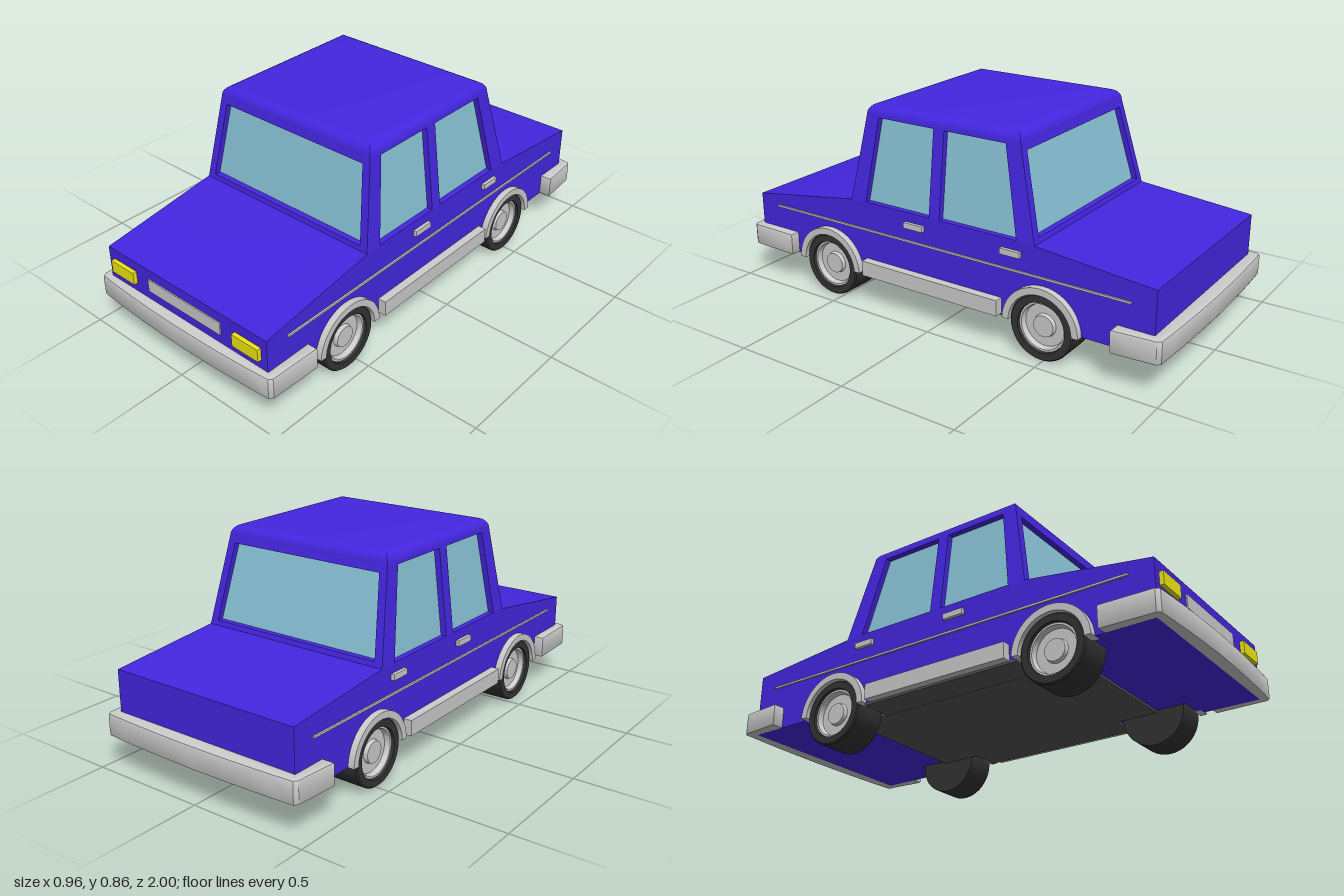
import * as THREE from 'three';
import { toCreasedNormals } from 'three/addons/utils/BufferGeometryUtils.js';

const mat = (color) => new THREE.MeshStandardMaterial({ color });
const paint = mat(0x4426e0), trim = mat(0xcccccc), glass = mat(0x88c2d6);
const rubber = mat(0x333333), lamp = mat(0xeee814), under = mat(0x555555);

const BELT = 0.45, EAVE = 0.81, ROOF = 0.855;
const SLOPE = { side: 0.12, front: 0.18, back: 0.25 };
const WHEELS = { front: 0.55, rear: -0.49 }, AXLE = 0.135;

const shapeOf = (pts) => new THREE.Shape(pts.map(([x, y]) => new THREE.Vector2(x, y)));

export function createModel() {
  const car = new THREE.Group();
  car.name = 'car';

  const add = (name, geo, material, parent = car) => {
    const mesh = new THREE.Mesh(geo, material);
    mesh.name = name;
    parent.add(mesh);
    return mesh;
  };
  const box = (name, x0, x1, y0, y1, z0, z1, material) =>
    add(name, new THREE.BoxGeometry(x1 - x0, y1 - y0, z1 - z0), material)
      .position.set((x0 + x1) / 2, (y0 + y1) / 2, (z0 + z1) / 2);

  // Extrude a (z, y) outline from x0 to x1
  const extrudeX = (shape, x0, x1) => {
    const g = new THREE.ExtrudeGeometry(shape, { depth: x1 - x0, bevelEnabled: false, curveSegments: 24 });
    return toCreasedNormals(g.rotateY(-Math.PI / 2).translate(x1, 0, 0), 0.5);
  };
  // Lean a panel inward above the belt line
  const lean = (g, axis, k) => {
    const p = g.attributes.position;
    for (let i = 0; i < p.count; i++) {
      p.setComponent(i, axis, p.getComponent(i, axis) - k * (p.getY(i) - BELT));
    }
    g.computeVertexNormals();
    return g;
  };
  // Stack of rectangles [y, halfX, zBack, zFront], capped on top
  const loft = (rings) => {
    const pos = [];
    const corners = ([y, x, b, f]) => [[x, y, f], [x, y, b], [-x, y, b], [-x, y, f]];
    const quad = (a, b, c, d) => pos.push(...a, ...b, ...c, ...a, ...c, ...d);
    for (let i = 0; i + 1 < rings.length; i++) {
      const lo = corners(rings[i]), hi = corners(rings[i + 1]);
      for (let j = 0; j < 4; j++) {
        const k = (j + 1) % 4;
        quad(lo[j], lo[k], hi[k], hi[j]);
      }
    }
    quad(...corners(rings[rings.length - 1]));
    const g = new THREE.BufferGeometry();
    g.setAttribute('position', new THREE.Float32BufferAttribute(pos, 3));
    return toCreasedNormals(g, 0.6);
  };

  // Lower body: a plain centre and two flanks with wheel openings
  const top = [[0.955, 0.14], [0.955, 0.37], [0.43, BELT], [-0.45, BELT], [-0.945, 0.405], [-0.945, 0.14]];
  add('bodyCentre', extrudeX(shapeOf(top), -0.3, 0.3), paint);
  const flank = shapeOf(top);
  for (const z of [WHEELS.rear, WHEELS.front]) {
    flank.lineTo(z - 0.145, 0.14);
    flank.absarc(z, 0.14, 0.145, Math.PI, 0, true);
  }
  add('leftFlank', extrudeX(flank, 0.3, 0.43), paint);
  add('rightFlank', extrudeX(flank, -0.43, -0.3), paint);
  box('floorPan', -0.3, 0.3, 0.13, 0.141, -0.5, 0.57, under);
  box('floorSides', -0.43, 0.43, 0.131, 0.141, -0.33, 0.39, under);

  // Cabin: side frames with two window openings each
  const h = EAVE - BELT;
  const sideFrame = shapeOf([[0.43, BELT], [0.43 - SLOPE.front * h, EAVE],
    [-0.45 + SLOPE.back * h, EAVE], [-0.45, BELT]]);
  sideFrame.holes.push(
    shapeOf([[0.355, 0.453], [0.035, 0.453], [0.035, 0.803], [0.305, 0.803]]),
    shapeOf([[-0.015, 0.453], [-0.37, 0.453], [-0.295, 0.803], [-0.015, 0.803]]));
  for (const s of [1, -1]) {
    const g = extrudeX(sideFrame, s > 0 ? 0.395 : -0.43, s > 0 ? 0.43 : -0.395);
    add(s > 0 ? 'leftWindowFrame' : 'rightWindowFrame', lean(g, 0, s * SLOPE.side), paint);
  }

  // Windscreen and rear window frames
  const xe = 0.43 - SLOPE.side * h;
  for (const s of [1, -1]) {
    const frame = shapeOf([[-0.43, BELT], [0.43, BELT], [xe, EAVE], [-xe, EAVE]]);
    frame.holes.push(shapeOf([[-0.4, 0.47], [0.4, 0.47], [0.36, 0.782], [-0.36, 0.782]]));
    const g = new THREE.ExtrudeGeometry(frame, { depth: 0.035, bevelEnabled: false });
    g.translate(0, 0, s > 0 ? 0.395 : -0.45);
    add(s > 0 ? 'windscreenFrame' : 'rearWindowFrame',
      lean(g, 2, s > 0 ? SLOPE.front : -SLOPE.back), paint);
  }

  // Glass core set back behind the frames
  const ring = (y, inset) => [y, 0.43 - SLOPE.side * (y - BELT) - inset,
    -0.45 + SLOPE.back * (y - BELT) + inset, 0.43 - SLOPE.front * (y - BELT) - inset];
  add('windows', loft([ring(BELT, 0.025), ring(EAVE, 0.025)]), glass);

  // Roof with rounded edges
  const roofRings = [];
  for (let i = 0; i <= 6; i++) {
    const a = (i / 6) * Math.PI / 2;
    const [, x, b, f] = ring(EAVE, 0.045 * (1 - Math.cos(a)));
    roofRings.push([EAVE + (ROOF - EAVE) * Math.sin(a), x, b, f]);
  }
  add('roof', loft(roofRings), paint);

  // Wrap-around bumpers with a slightly bowed face
  const bumper = (name, wide, endZ, cornerZ, innerZ, turn) => {
    const s = new THREE.Shape();
    s.moveTo(-0.425, endZ);
    s.lineTo(-0.425, innerZ);
    s.lineTo(0.425, innerZ);
    s.lineTo(0.425, endZ);
    s.lineTo(wide, endZ);
    s.lineTo(0.467, cornerZ - 0.015);
    s.lineTo(0.455, cornerZ);
    s.quadraticCurveTo(0, 2 - cornerZ, -0.455, cornerZ);
    s.lineTo(-0.467, cornerZ - 0.015);
    s.lineTo(-wide, endZ);
    const b = 0.008;
    const g = new THREE.ExtrudeGeometry(s, { depth: 0.094 - 2 * b, bevelThickness: b, bevelSize: b,
      bevelOffset: -b, bevelSegments: 2, curveSegments: 10 });
    g.rotateX(Math.PI / 2).translate(0, 0.233 - b, 0).rotateY(turn);
    add(name, toCreasedNormals(g, 0.5), trim);
  };
  bumper('frontBumper', 0.472, 0.75, 0.982, 0.945, 0);
  bumper('rearBumper', 0.48, 0.795, 0.985, 0.935, Math.PI);

  // Grille and headlights
  box('grille', -0.197, 0.197, 0.273, 0.328, 0.94, 0.96, trim);
  for (const s of [1, -1]) {
    box('headlight', s * 0.335 - 0.065, s * 0.335 + 0.065, 0.273, 0.326, 0.94, 0.972, lamp);
  }

  // Side trim
  for (const s of [1, -1]) {
    const strip = (name, x, y0, y1, z0, z1) =>
      box(name, Math.min(s * 0.42, s * x), Math.max(s * 0.42, s * x), y0, y1, z0, z1, trim);
    strip('sill', 0.465, 0.14, 0.205, -0.305, 0.36);
    strip('trimLine', 0.437, 0.329, 0.337, -0.85, 0.855);
    strip('frontDoorHandle', 0.444, 0.39, 0.414, 0.06, 0.152);
    strip('rearDoorHandle', 0.444, 0.39, 0.414, -0.392, -0.305);
  }

  // Wheel profiles, axis pointing outward
  const lathe = (pts) => {
    const g = new THREE.LatheGeometry(pts.map(([r, y]) => new THREE.Vector2(r, y)), 40);
    return toCreasedNormals(g.rotateZ(-Math.PI / 2), 0.5);
  };
  const tyreGeo = lathe([[0, -0.07], [0.135, -0.07], [0.135, 0.064], [0.13, 0.07], [0.102, 0.07], [0.098, 0.035]]);
  const rimGeo = lathe([[0.1, 0.058], [0.092, 0.058], [0.086, 0.036], [0.047, 0.036], [0.043, 0.052], [0, 0.052]]);

  // Wheels and arch trims
  for (const [end, z] of Object.entries(WHEELS)) {
    const arch = new THREE.Shape();
    arch.absarc(z, AXLE, 0.165, 0.03, Math.PI - 0.03, false);
    arch.absarc(z, AXLE, 0.137, Math.PI - 0.03, 0.03, true);
    for (const s of [1, -1]) {
      const wheel = new THREE.Group();
      wheel.name = end + 'Wheel';
      wheel.position.set(s * 0.375, AXLE, z);
      wheel.rotation.y = s > 0 ? 0 : Math.PI;
      add('tyre', tyreGeo, rubber, wheel);
      add('rim', rimGeo, trim, wheel);
      car.add(wheel);
      add(end + 'WheelArch', extrudeX(arch, s > 0 ? 0.4 : -0.457, s > 0 ? 0.457 : -0.4), trim);
    }
  }
  return car;
}
